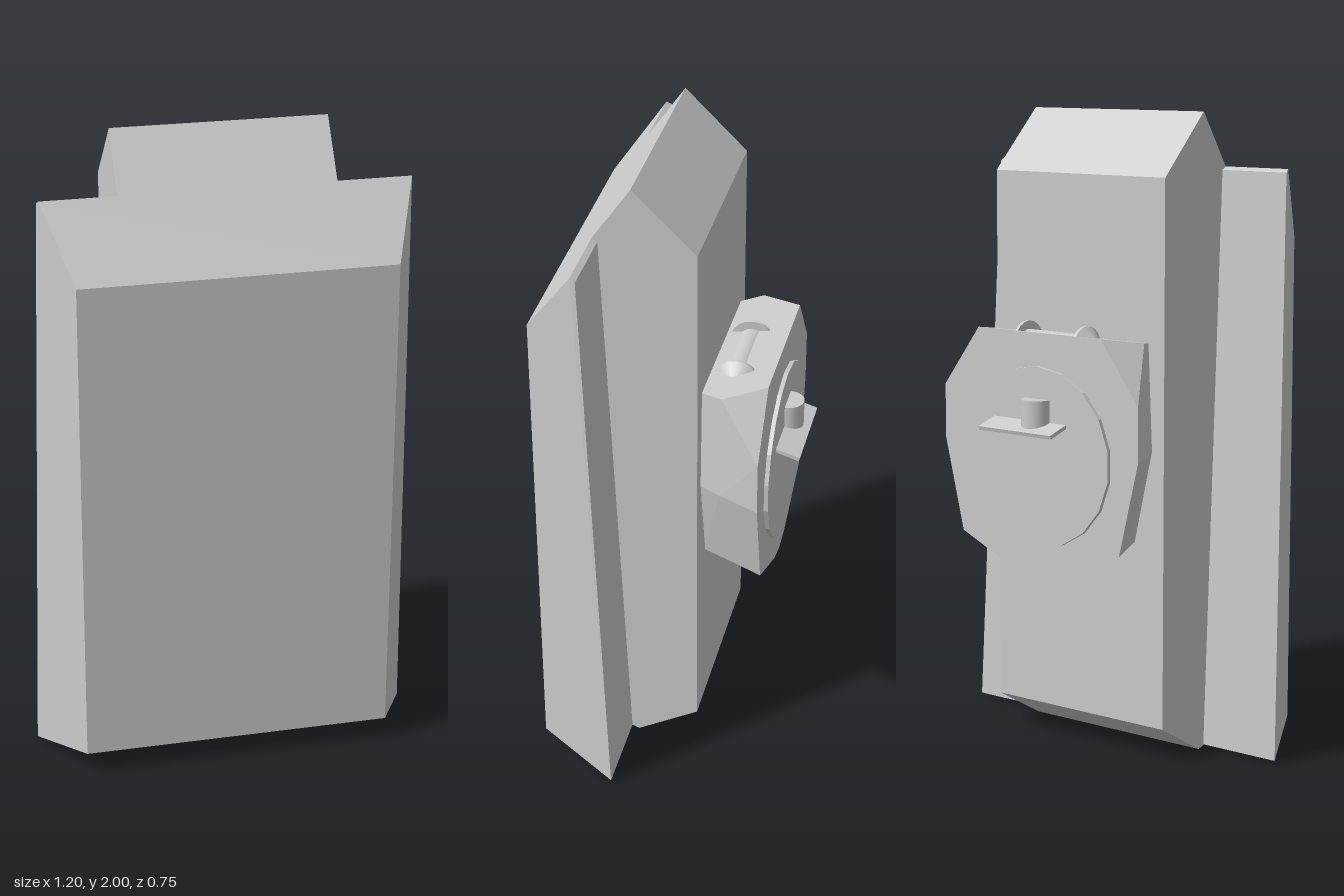
import * as THREE from 'three';
import { ConvexGeometry } from 'three/addons/geometries/ConvexGeometry.js';

const flat = new THREE.MeshStandardMaterial({ color: 0xcccccc, flatShading: true });
const smooth = new THREE.MeshStandardMaterial({ color: 0xcccccc });

function part(parent, name, geometry, material, x = 0, y = 0, z = 0) {
  const mesh = new THREE.Mesh(geometry, material);
  mesh.name = name;
  mesh.position.set(x, y, z);
  parent.add(mesh);
  return mesh;
}

// Closed outline, counter-clockwise seen from +z, from a bottom point and the +x half
function mirroredLoop(bottom, half, z) {
  const right = half.map(([x, y]) => [x, y, z]);
  const left = half.map(([x, y]) => [-x, y, z]).reverse();
  return [[0, bottom, z], ...right, ...left];
}

// Faceted skin through outlines running towards -z, with a flat cap on the last
function loft(loops) {
  const pos = [];
  const tri = (...corners) => corners.forEach((c) => pos.push(...c));
  const n = loops[0].length;
  for (let k = 0; k < loops.length - 1; k++) {
    for (let i = 0; i < n; i++) {
      const j = (i + 1) % n;
      const a = loops[k][i], b = loops[k][j], c = loops[k + 1][j], d = loops[k + 1][i];
      tri(a, d, c);
      tri(a, c, b);
    }
  }
  const last = loops[loops.length - 1];
  const centre = [0, 0.96, last[0][2]];
  for (let i = 0; i < n; i++) tri(centre, last[(i + 1) % n], last[i]);
  const g = new THREE.BufferGeometry();
  g.setAttribute('position', new THREE.Float32BufferAttribute(pos, 3));
  g.computeVertexNormals();
  return g;
}

export function createModel() {
  const model = new THREE.Group();
  model.name = 'panelWithRearPod';

  // Wide front plate with bevelled edges
  const plateCorners = [];
  for (const s of [-1, 1]) {
    for (const [x, y, z] of [
      [0.483, 1.61, 0.372], [0.483, 0.075, 0.372],
      [0.56, 1.83, 0.217], [0.565, 1.82, 0.2], [0.602, 0.01, 0.124],
    ]) plateCorners.push(new THREE.Vector3(s * x, y, z));
  }
  part(model, 'frontPlate', new ConvexGeometry(plateCorners), flat);

  // Central spine behind the plate, rising to a ridge
  const profile = new THREE.Shape([
    [0.217, 1.83], [0.1, 2], [-0.093, 1.81], [-0.093, 0.11], [0.1, 0], [0.124, 0.008],
  ].map(([z, y]) => new THREE.Vector2(z, y)));
  const spine = new THREE.ExtrudeGeometry(profile, { depth: 0.66, bevelEnabled: false });
  spine.rotateY(-Math.PI / 2).translate(0.33, 0, 0);
  part(model, 'spine', spine, flat);

  // Flared pod on the back with clipped upper corners
  const pod = new THREE.Group();
  pod.name = 'rearPod';
  model.add(pod);
  part(pod, 'podShell', loft([
    mirroredLoop(0.61, [[0.06, 0.62], [0.22, 0.69], [0.285, 0.98], [0.27, 1.31], [0.27, 1.31]], -0.093),
    mirroredLoop(0.6, [[0.065, 0.61], [0.25, 0.69], [0.32, 0.98], [0.305, 1.32], [0.305, 1.32]], -0.16),
    mirroredLoop(0.57, [[0.08, 0.585], [0.31, 0.69], [0.38, 0.98], [0.38, 1.15], [0.24, 1.34]], -0.288),
  ]), flat);

  // Round cover with a handle plate and a small post
  const disc = new THREE.CylinderGeometry(0.28, 0.28, 0.03, 18).rotateX(Math.PI / 2);
  part(pod, 'coverDisc', disc, flat, 0, 0.96, -0.286);
  const handle = part(pod, 'handlePlate', new THREE.BoxGeometry(0.284, 0.012, 0.085), flat, 0.025, 1.055, -0.333);
  handle.rotation.x = -0.3;
  part(pod, 'handlePost', new THREE.CylinderGeometry(0.048, 0.048, 0.085, 20), smooth, -0.006, 1.098, -0.305);

  // Sideways roller let into the pod top, with cone-tipped flanges
  const roller = new THREE.Group();
  roller.name = 'topRoller';
  roller.position.set(0.026, 1.287, -0.17);
  pod.add(roller);
  const bar = new THREE.CylinderGeometry(0.043, 0.043, 0.23, 20).rotateZ(Math.PI / 2);
  part(roller, 'rollerBar', bar, smooth);
  for (const s of [-1, 1]) {
    const flange = new THREE.CylinderGeometry(0.069, 0.069, 0.01, 20).rotateZ(Math.PI / 2);
    part(roller, 'rollerFlange', flange, smooth, s * 0.115);
    const cone = new THREE.CylinderGeometry(0.015, 0.069, 0.048, 20).rotateZ(-s * Math.PI / 2);
    part(roller, 'rollerCone', cone, smooth, s * 0.144);
  }

  return model;
}
